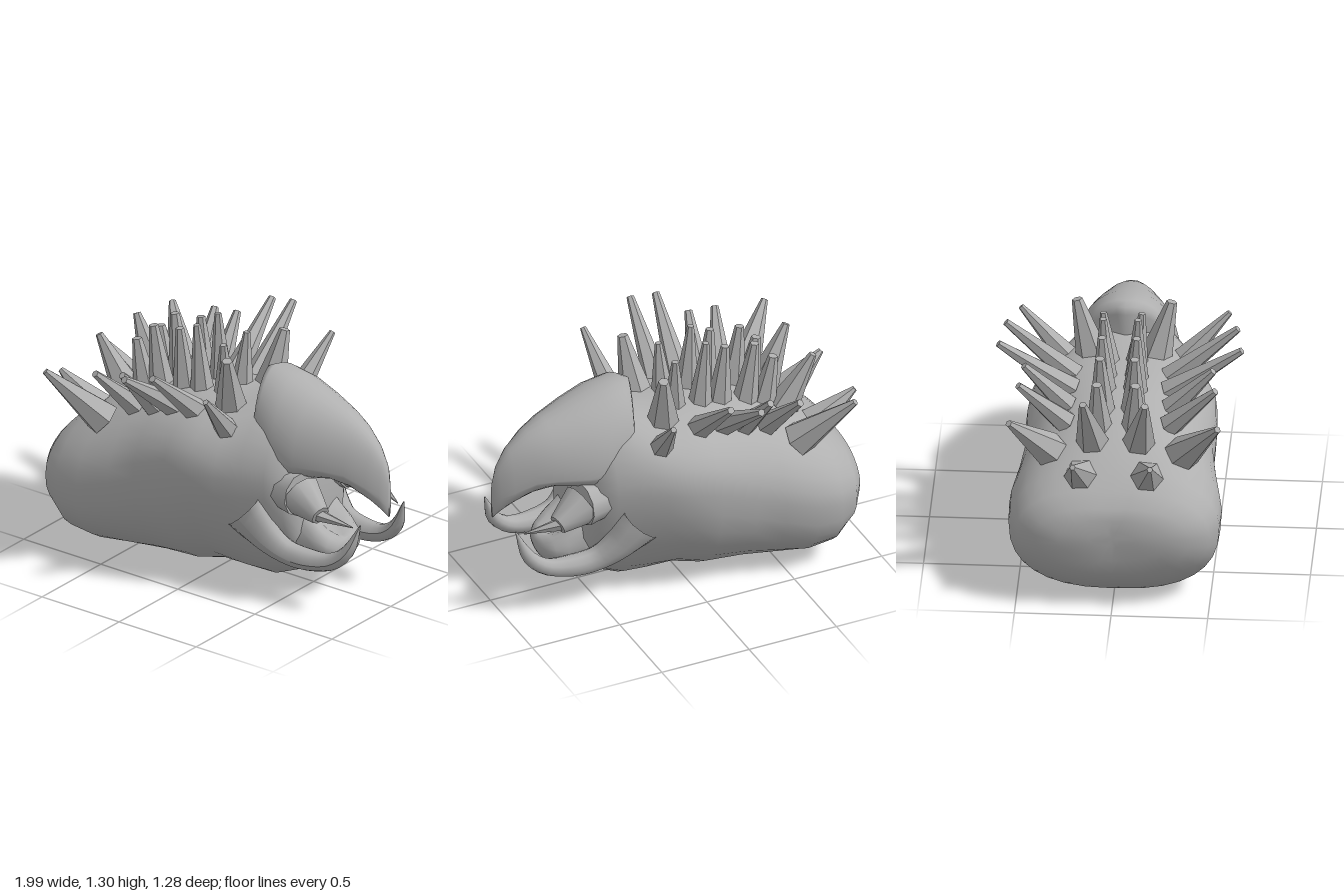
import * as THREE from 'three';

const hide = new THREE.MeshStandardMaterial({ color: 0xb0b0b0 });
hide.name = 'grey hide';

const V = (x, y, z) => new THREE.Vector3(x, y, z);

// Skin cross-sections along x: [x, bottom, top, halfWidth, widestY, lowerPower, upperPower, shear, dent]
function loft(stations, sides = 32) {
  const pos = [], idx = [];
  const last = stations.length - 1;
  stations.forEach(([x, bot, top, w, mid, low = 2, up = 2, shear = 0, dent = 0]) => {
    for (let j = 0; j < sides; j++) {
      const a = (j / sides) * Math.PI * 2, c = Math.cos(a), s = Math.sin(a);
      const p = 2 / (s < 0 ? low : up);
      const z = w * Math.sign(c) * Math.abs(c) ** p;
      let y = mid + Math.sign(s) * Math.abs(s) ** p * (s > 0 ? top - mid : mid - bot);
      if (s > 0) y -= dent * Math.max(0, 1 - Math.abs(c) * 1.4);
      pos.push(x + shear * Math.abs(z), y, z);
    }
  });
  for (let i = 0; i < last; i++) {
    for (let j = 0; j < sides; j++) {
      const k = (j + 1) % sides, a = i * sides, b = a + sides;
      idx.push(a + j, b + j, a + k, a + k, b + j, b + k);
    }
  }
  // Close both ends
  [0, last].forEach(i => {
    const centre = pos.length / 3, a = i * sides;
    pos.push(stations[i][0], stations[i][4], 0);
    for (let j = 0; j < sides; j++) {
      const k = (j + 1) % sides;
      if (i === 0) idx.push(centre, a + j, a + k);
      else idx.push(centre, a + k, a + j);
    }
  });
  const g = new THREE.BufferGeometry();
  g.setAttribute('position', new THREE.Float32BufferAttribute(pos, 3));
  g.setIndex(idx);
  g.computeVertexNormals();
  return g;
}

// Frustum between two points
function frustum(from, to, r0, r1, sides = 6) {
  const dir = to.clone().sub(from);
  const g = new THREE.CylinderGeometry(r1, r0, dir.length(), sides);
  g.applyQuaternion(new THREE.Quaternion().setFromUnitVectors(V(0, 1, 0), dir.normalize()));
  const m = from.clone().add(to).multiplyScalar(0.5);
  return g.translate(m.x, m.y, m.z);
}

// Tube whose radius follows a list; flat squeezes it across z near its root
function taperTube(points, radii, flat) {
  const curve = new THREE.CatmullRomCurve3(points);
  const steps = 20, sides = 10;
  const g = new THREE.TubeGeometry(curve, steps, 1, sides);
  const p = g.attributes.position;
  for (let i = 0; i <= steps; i++) {
    const u = i / steps, c = curve.getPointAt(u);
    const t = u * (radii.length - 1), k = Math.min(Math.floor(t), radii.length - 2);
    const r = THREE.MathUtils.lerp(radii[k], radii[k + 1], t - k);
    const fz = THREE.MathUtils.lerp(flat, 1, Math.min(1, u * 2));
    for (let j = 0; j <= sides; j++) {
      const n = i * (sides + 1) + j;
      p.setXYZ(n, c.x + (p.getX(n) - c.x) * r, c.y + (p.getY(n) - c.y) * r,
        c.z + (p.getZ(n) - c.z) * r * fz);
    }
  }
  g.computeVertexNormals();
  return g;
}

export function createModel() {
  const model = new THREE.Group();
  model.name = 'spinyCreature';
  const horn = hide.clone();
  horn.name = 'grey horn';
  horn.flatShading = true;
  const add = (name, geo, mat = hide, parent = model) => {
    const m = new THREE.Mesh(geo, mat);
    m.name = name;
    parent.add(m);
  };

  // Bulky body with two-lobed rump; cheeks towards +x
  add('body', loft([
    [-0.945, 0.38, 0.46, 0.12, 0.42, 2, 2, -0.08],
    [-0.94, 0.29, 0.54, 0.28, 0.42, 2, 2, -0.06, 0.02],
    [-0.925, 0.20, 0.61, 0.40, 0.42, 2.2, 2, 0, 0.03],
    [-0.86, 0.12, 0.68, 0.50, 0.41, 2.3, 2.1, 0, 0.03],
    [-0.76, 0.03, 0.76, 0.545, 0.41, 2.5, 2, 0, 0.02],
    [-0.62, 0.005, 0.83, 0.55, 0.43, 2.5],
    [-0.45, 0.0, 0.90, 0.515, 0.48, 2.3],
    [-0.30, 0.0, 0.94, 0.49, 0.54, 2.2, 2.1],
    [-0.10, 0.0, 0.965, 0.495, 0.62, 2.1, 2.25],
    [0.05, 0.03, 0.975, 0.485, 0.65, 1.9, 2.25],
    [0.18, 0.01, 0.985, 0.44, 0.66, 1.8, 2.1],
    [0.30, 0.0, 1.03, 0.38, 0.66, 1.75, 2],
    [0.42, 0.05, 1.01, 0.325, 0.65, 1.75, 2],
    [0.50, 0.09, 0.93, 0.28, 0.61, 1.8, 2],
    [0.55, 0.13, 0.78, 0.19, 0.50],
  ]));

  // Raised crest running forward into a hooked beak
  add('upperBeak', loft([
    [0.20, 0.70, 1.11, 0.225, 0.86, 2, 2, 0.35],
    [0.21, 0.65, 1.15, 0.24, 0.85, 2, 2, 0.33],
    [0.25, 0.60, 1.17, 0.25, 0.84, 2, 2, 0.25],
    [0.40, 0.56, 1.145, 0.27, 0.79, 2, 2, 0.08],
    [0.55, 0.63, 1.095, 0.25, 0.76, 1.7],
    [0.70, 0.655, 1.04, 0.19, 0.755, 1.6],
    [0.80, 0.625, 0.99, 0.142, 0.74, 1.6],
    [0.90, 0.575, 0.91, 0.09, 0.68, 1.7],
    [0.96, 0.535, 0.82, 0.05, 0.64],
    [0.99, 0.505, 0.72, 0.015, 0.60],
  ]));

  // Lower jaw with a dished lip
  add('lowerJaw', loft([
    [0.40, 0.08, 0.55, 0.22, 0.32, 2.1],
    [0.55, 0.14, 0.50, 0.18, 0.31, 2, 2.2, 0, 0.14],
    [0.63, 0.16, 0.42, 0.17, 0.29, 2, 2.2, 0, 0.10],
    [0.69, 0.18, 0.36, 0.145, 0.28, 2, 2, 0, 0.04],
    [0.725, 0.21, 0.325, 0.10, 0.27],
    [0.74, 0.24, 0.295, 0.04, 0.27],
  ], 24));

  // Spikes: base xyz, tip xyz, base radius, tip radius
  const spikes = [
    [-0.60, 0.74, 0.34, -0.83, 1.02, 0.54, 0.098, 0.018],
    [-0.45, 0.83, 0.27, -0.53, 1.08, 0.51, 0.066, 0.02],
    [-0.32, 0.86, 0.27, -0.37, 1.11, 0.49, 0.064, 0.02],
    [-0.20, 0.89, 0.25, -0.25, 1.17, 0.63, 0.068, 0.02],
    [-0.07, 0.90, 0.25, -0.09, 1.21, 0.60, 0.068, 0.02],
    [0.165, 0.87, 0.29, 0.21, 1.14, 0.54, 0.066, 0.016],
    [-0.77, 0.69, 0.17, -0.99, 0.86, 0.20, 0.092, 0.015],
    [-0.62, 0.82, 0.12, -0.77, 1.11, 0.16, 0.085, 0.02],
    [-0.52, 0.85, 0.09, -0.57, 1.12, 0.10, 0.068, 0.026],
    [-0.42, 0.87, 0.08, -0.47, 1.22, 0.09, 0.07, 0.024],
    [-0.27, 0.90, 0.08, -0.30, 1.25, 0.09, 0.068, 0.022],
    [-0.16, 0.92, 0.08, -0.19, 1.30, 0.09, 0.065, 0.018],
    [-0.02, 0.93, 0.07, -0.01, 1.24, 0.10, 0.062, 0.018],
    [0.09, 0.92, 0.16, 0.125, 1.24, 0.245, 0.09, 0.028],
  ];

  for (const s of [1, -1]) {
    const side = new THREE.Group();
    side.name = s > 0 ? 'leftSide' : 'rightSide';
    model.add(side);
    const P = (x, y, z) => V(x, y, z * s);

    spikes.forEach(([x, y, z, tx, ty, tz, r, tip]) =>
      add('backSpike', frustum(P(x, y, z), P(tx, ty, tz), r, tip), horn, side));

    // Upswept tusk with a broad flattened root on the cheek
    add('tusk', taperTube([
      P(0.29, 0.47, 0.325), P(0.41, 0.34, 0.285), P(0.52, 0.27, 0.255),
      P(0.66, 0.255, 0.235), P(0.79, 0.28, 0.225), P(0.88, 0.355, 0.21), P(0.945, 0.515, 0.185),
    ], [0.14, 0.10, 0.07, 0.06, 0.045, 0.033, 0.003], 0.5), hide, side);

    // Stubby socket carrying a pointed fang
    add('fangSocket', frustum(P(0.46, 0.60, 0.20), P(0.58, 0.60, 0.215), 0.105, 0.12, 10), hide, side);
    add('fangCollar', frustum(P(0.58, 0.60, 0.215), P(0.735, 0.535, 0.25), 0.115, 0.054, 10), hide, side);
    add('fang', frustum(P(0.72, 0.535, 0.25), P(0.90, 0.49, 0.19), 0.036, 0.003), horn, side);
  }
  return model;
}
